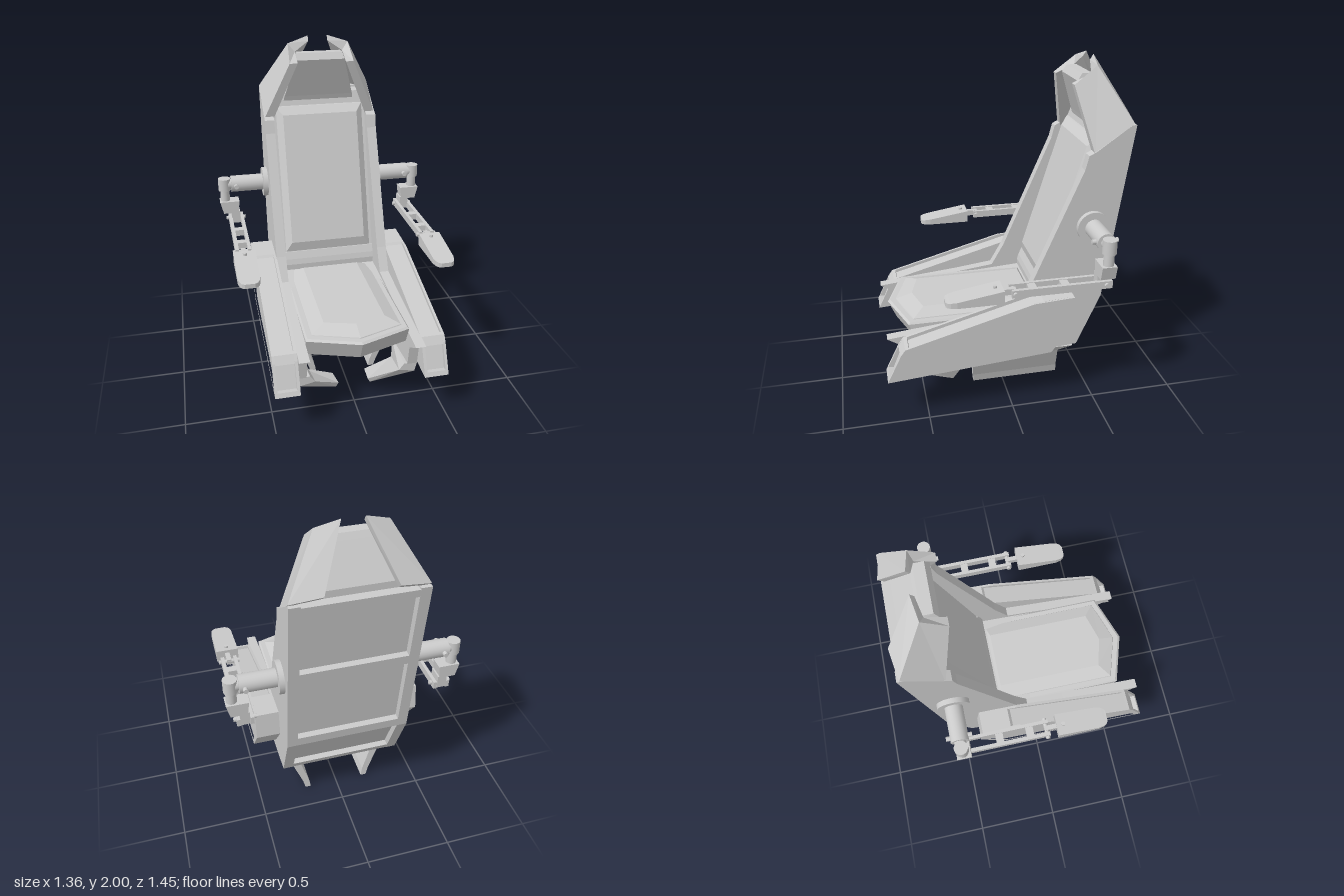
import * as THREE from 'three';

const material = new THREE.MeshStandardMaterial({ color: 0xcccccc });

// Reverse the winding of a non-indexed geometry.
function flip(g) {
  for (const { array, itemSize: s, count } of Object.values(g.attributes)) {
    for (let i = 0; i < count; i += 3) {
      for (let k = 0; k < s; k++) {
        const p = (i + 1) * s + k, q = (i + 2) * s + k;
        [array[p], array[q]] = [array[q], array[p]];
      }
    }
  }
}

// Solid skinned through matching rings of [x, y, z] points, capped at both ends, flat faces.
function loft(rings) {
  const n = rings[0].length, pos = [];
  const tri = (a, b, c) => pos.push(...a, ...b, ...c);
  for (let i = 0; i + 1 < rings.length; i++) {
    for (let j = 0; j < n; j++) {
      const k = (j + 1) % n, [p, q] = [rings[i], rings[i + 1]];
      tri(p[j], p[k], q[k]);
      tri(p[j], q[k], q[j]);
    }
  }
  const last = rings[rings.length - 1];
  for (let j = 1; j + 1 < n; j++) {
    tri(rings[0][0], rings[0][j + 1], rings[0][j]);
    tri(last[0], last[j], last[j + 1]);
  }
  // Turn the solid outward if its signed volume is negative.
  let volume = 0;
  const [a, b, c] = [new THREE.Vector3(), new THREE.Vector3(), new THREE.Vector3()];
  for (let i = 0; i < pos.length; i += 9) {
    volume += a.fromArray(pos, i).dot(b.fromArray(pos, i + 3).cross(c.fromArray(pos, i + 6)));
  }
  const g = new THREE.BufferGeometry();
  g.setAttribute('position', new THREE.Float32BufferAttribute(pos, 3));
  if (volume < 0) flip(g);
  g.computeVertexNormals();
  return g;
}

// Side profile of [z, y] points extruded from x0 to x1.
function slab(profile, x0, x1, hole) {
  const pts = (list) => list.map(([z, y]) => new THREE.Vector2(-z, y));
  const shape = new THREE.Shape(pts(profile));
  if (hole) shape.holes.push(new THREE.Path(pts(hole)));
  return new THREE.ExtrudeGeometry(shape, { depth: x1 - x0, bevelEnabled: false })
    .rotateY(Math.PI / 2).translate(x0, 0, 0);
}

function box(x0, x1, y0, y1, z0, z1) {
  return new THREE.BoxGeometry(x1 - x0, y1 - y0, z1 - z0)
    .translate((x0 + x1) / 2, (y0 + y1) / 2, (z0 + z1) / 2);
}

function rod(axis, r, length, x, y, z) {
  const g = new THREE.CylinderGeometry(r, r, length, 24);
  if (axis === 'x') g.rotateZ(Math.PI / 2);
  if (axis === 'z') g.rotateX(Math.PI / 2);
  return g.translate(x, y, z);
}

export function createModel() {
  const model = new THREE.Group();
  const add = (name, g) => {
    const m = new THREE.Mesh(g, material);
    m.name = name;
    model.add(m);
  };
  const addPair = (name, g) => {
    add(name + 'Left', g);
    const mirrored = (g.index ? g.toNonIndexed() : g.clone()).scale(-1, 1, 1);
    flip(mirrored);
    add(name + 'Right', mirrored);
  };

  // Side plates
  addPair('sidePlate', slab([[-0.04, 0.56], [-0.12, 0.7], [-0.43, 1.42], [-0.45, 1.5], [-0.49, 1.52],
    [-0.69, 1.66], [-0.715, 1.66], [-0.57, 0.62], [-0.43, 0.3], [0.26, 0.25], [0.58, 0.28],
    [0.6, 0.41], [0.71, 0.48], [0.2, 0.53]], 0.3, 0.36));

  // Body between the plates, set in at the back
  add('body', slab([[0.5, 0.5], [-0.23, 0.55], [-0.25, 0.66], [-0.53, 1.57], [-0.55, 1.64], [-0.67, 1.64],
    [-0.53, 0.62], [-0.4, 0.325], [0.27, 0.28], [0.53, 0.412]], -0.3, 0.3));

  // Cross bars over the sunken back
  const backZ = (y) => (y > 0.62 ? -0.57 - (y - 0.62) * 0.139 : -0.57 + (0.62 - y) * 0.437);
  for (const [y0, y1] of [[0.305, 0.345], [0.62, 0.68], [1.14, 1.2], [1.605, 1.65]]) {
    add('backCrossBar', slab([[backZ(y0), y0], [backZ(y0) + 0.06, y0],
      [backZ(y1) + 0.06, y1], [backZ(y1), y1]], -0.3, 0.3));
  }

  // Seat pan with a pointed front, and its cushion
  const seatRing = (w, y, rear, side, tip) => [[0, y, tip], [-w, y, side], [-w, y, rear], [w, y, rear], [w, y, side]];
  add('seatPan', loft([seatRing(0.3, 0.41, -0.22, 0.53, 0.63),
    seatRing(0.3, 0.525, -0.22, 0.58, 0.68), seatRing(0.29, 0.535, -0.22, 0.57, 0.665)]));
  add('seatCushion', loft([seatRing(0.265, 0.53, -0.215, 0.55, 0.635), seatRing(0.26, 0.54, -0.21, 0.545, 0.63),
    seatRing(0.18, 0.57, -0.185, 0.48, 0.53)]));

  // Backrest cushion and the roll at its foot
  const backRing = (w, y0, y1, lift) => [[-w, y0], [w, y0], [w, y1], [-w, y1]]
    .map(([x, y]) => [x, y, -0.25 - (y - 0.66) * 0.308 + lift]);
  add('backCushion', loft([backRing(0.285, 0.665, 1.57, -0.02), backRing(0.28, 0.67, 1.565, 0.01),
    backRing(0.24, 0.735, 1.52, 0.04)]));
  add('backRoll', slab([[-0.3, 0.53], [-0.215, 0.53], [-0.215, 0.585], [-0.225, 0.62], [-0.245, 0.665], [-0.3, 0.665]],
    -0.3, 0.3));

  // Headrest, leaning forward at the top
  const headRing = (w, front, rear) => [[-w, ...front], [w, ...front], [w, ...rear], [-w, ...rear]];
  add('headrest', loft([headRing(0.225, [1.6, -0.535], [1.62, -0.66]), headRing(0.22, [1.63, -0.525], [1.69, -0.66]),
    headRing(0.15, [1.87, -0.435], [1.88, -0.54]), headRing(0.14, [1.91, -0.46], [1.91, -0.52])]));

  // Head wings folded around the headrest
  addPair('headWing', loft([
    [[0.36, 1.5, -0.485], [0.2, 1.86, -0.4], [0.15, 1.86, -0.4], [0.3, 1.5, -0.485]],
    [[0.36, 1.67, -0.7], [0.19, 1.96, -0.53], [0.15, 1.91, -0.51], [0.31, 1.64, -0.66]],
    [[0.19, 1.7, -0.725], [0.06, 2, -0.55], [0.06, 1.97, -0.53], [0.19, 1.67, -0.69]],
  ]));

  // Side boxes: core sunken at the top and front, between an inner wall and an outer frame
  const boxSide = [[0.727, 0.28], [0.645, 0.45], [0.62, 0.485], [-0.12, 0.69], [-0.36, 0.705],
    [-0.38, 0.55], [-0.23, 0.355]];
  const boxCore = [[0.727, 0.28], [0.715, 0.305], [0.685, 0.3], [0.63, 0.435], [0.65, 0.44], [0.62, 0.485],
    [0.6, 0.49], [0.595, 0.472], [-0.165, 0.68], [-0.18, 0.695], [-0.36, 0.705], [-0.38, 0.55], [-0.23, 0.355]];
  const boxHole = [[0.68, 0.303], [0.6, 0.44], [-0.14, 0.66], [-0.335, 0.675], [-0.345, 0.56], [-0.21, 0.378]];
  addPair('sideBoxCore', slab(boxCore, 0.37, 0.487));
  addPair('sideBoxInnerWall', slab(boxSide, 0.358, 0.375));
  addPair('sideBoxFrame', slab(boxSide, 0.485, 0.5, boxHole));

  // Footrests curling inward under the seat
  addPair('footrest', loft([
    [[0.36, 0.285, 0.58], [0.36, 0.255, 0.26], [0.3, 0.255, 0.26], [0.28, 0.285, 0.58]],
    [[0.345, 0.225, 0.58], [0.31, 0.12, 0.33], [0.28, 0.16, 0.33], [0.25, 0.245, 0.58]],
    [[0.105, 0.1, 0.47], [0.11, 0.08, 0.42], [0.1, 0.11, 0.35], [0.09, 0.13, 0.475]],
  ]));

  // Legs: slanting plates below the side plates
  const flatRing = (y, x0, x1, z0, z1) => [[x0, y, z0], [x1, y, z0], [x1, y, z1], [x0, y, z1]];
  addPair('leg', loft([flatRing(0.285, 0.3, 0.355, 0.27, -0.41), flatRing(0.21, 0.23, 0.28, 0.2, -0.34),
    flatRing(0.06, 0.18, 0.22, 0.19, -0.35), flatRing(0.005, 0.17, 0.205, 0.185, -0.355)]));

  // Arm mounts
  const armY = 1.08, armZ = -0.49;
  addPair('armDisc', rod('x', 0.095, 0.04, 0.37, armY, armZ));
  addPair('armTube', rod('x', 0.053, 0.22, 0.485, armY, armZ));
  addPair('armTubePin', rod('z', 0.014, 0.15, 0.565, armY, armZ));
  addPair('armShaft', rod('x', 0.034, 0.06, 0.615, armY, armZ));
  addPair('armPivot', rod('y', 0.04, 0.08, 0.638, armY, armZ));
  addPair('armPivotPost', rod('y', 0.03, 0.08, 0.638, 1.005, armZ));
  addPair('armBlock', loft([flatRing(0.89, 0.56, 0.655, -0.53, -0.445), flatRing(0.97, 0.55, 0.675, -0.53, -0.445)]));
  addPair('armHanger', box(0.55, 0.605, 0.82, 0.9, -0.53, -0.445));

  // Ladder shaped arms
  addPair('armRailInner', box(0.528, 0.548, 0.815, 0.86, -0.53, 0.04));
  addPair('armRailOuter', box(0.602, 0.624, 0.815, 0.86, -0.53, 0.04));
  for (const z of [-0.265, -0.08]) addPair('armRung', box(0.54, 0.61, 0.818, 0.857, z - 0.023, z + 0.023));
  for (const z of [-0.495, 0.022]) addPair('armPin', rod('x', 0.013, 0.125, 0.576, 0.838, z));
  addPair('handNeck', box(0.562, 0.59, 0.82, 0.855, 0.01, 0.09));

  // Hand pads, tapering to a rounded front
  const padRing = (z, w, top) => [[0.575 - w, 0.797, z], [0.575 + w, 0.797, z], [0.575 + w, top, z], [0.575 - w, top, z]];
  addPair('handPad', loft([padRing(0.085, 0.066, 0.873), padRing(0.34, 0.064, 0.833), padRing(0.375, 0.056, 0.828),
    padRing(0.392, 0.045, 0.825), padRing(0.4, 0.03, 0.824)]));
  addPair('handButton', rod('y', 0.012, 0.03, 0.575, 0.865, 0.125));

  return model;
}
